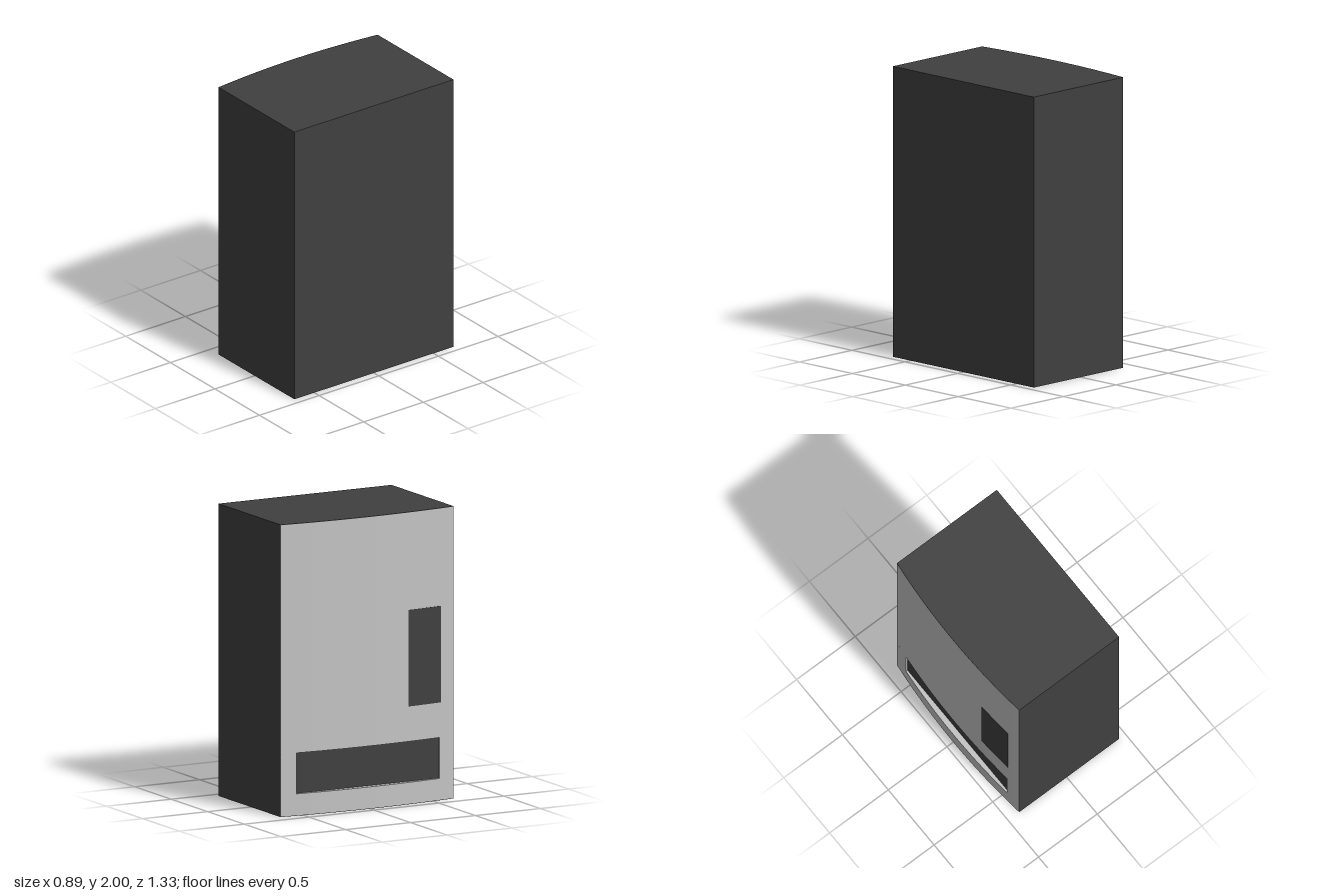
import * as THREE from 'three';

const HEIGHT = 2, HALF_DEPTH = 0.667, BACK_X = 0.446, CHORD_X = -0.405, BULGE = 0.041;

// x of the bowed face at a given z
const RADIUS = (HALF_DEPTH ** 2 + BULGE ** 2) / (2 * BULGE);
const bowX = (z) => CHORD_X - BULGE + RADIUS - Math.sqrt(RADIUS ** 2 - z * z);

// upright slab between the bowed face and an inner edge
function bowedSlab(z0, z1, y0, y1, inner = () => CHORD_X, offset = 0) {
  const points = [];
  const steps = Math.max(4, Math.round((z1 - z0) * 18));
  for (let i = 0; i <= steps; i++) {
    const z = z0 + ((z1 - z0) * i) / steps;
    points.push(new THREE.Vector2(bowX(z) - offset, z));
  }
  for (const z of [z1, z0]) {
    const p = new THREE.Vector2(inner(z), z);
    if (!points.some((q) => q.distanceTo(p) < 1e-4)) points.push(p);
  }
  const geometry = new THREE.ExtrudeGeometry(new THREE.Shape(points), { depth: y1 - y0, bevelEnabled: false });
  return geometry.rotateX(Math.PI / 2).translate(0, y1, 0);
}

export function createModel() {
  const charcoal = new THREE.MeshStandardMaterial({ color: 0x404040 });
  charcoal.name = 'charcoal';
  const lightGrey = new THREE.MeshStandardMaterial({ color: 0xc4c4c4 });
  lightGrey.name = 'lightGrey';

  const model = new THREE.Group();
  model.name = 'vendingCabinet';
  const add = (name, geometry, material) => {
    const mesh = new THREE.Mesh(geometry, material);
    mesh.name = name;
    model.add(mesh);
  };

  // cabinet; its face is also the back of the slot
  const width = BACK_X - CHORD_X;
  add('cabinet', new THREE.BoxGeometry(width, HEIGHT, HALF_DEPTH * 2)
    .translate((BACK_X + CHORD_X) / 2, HEIGHT / 2, 0), charcoal);

  // bowed door, built round the pickup slot
  const D = HALF_DEPTH, slotZ = 0.55, slotBottom = 0.15, slotTop = 0.43, lid = 0.002;
  add('doorBelowSlot', bowedSlab(-D, D, lid, slotBottom), lightGrey);
  add('doorAboveSlot', bowedSlab(-D, D, slotTop, HEIGHT - lid), lightGrey);
  add('doorSlotEndFront', bowedSlab(slotZ, D, slotBottom, slotTop), lightGrey);
  add('doorSlotEndBack', bowedSlab(-D, -slotZ, slotBottom, slotTop), lightGrey);

  // dark end caps of the door
  add('doorTopCap', bowedSlab(-D, D, HEIGHT - lid, HEIGHT), charcoal);
  add('doorBottomCap', bowedSlab(-D, D, 0, lid), charcoal);

  // control panel following the bow
  add('controlPanel', bowedSlab(0.3, 0.56, 0.67, 1.33, (z) => bowX(z) + 0.004, 0.003), charcoal);

  return model;
}
